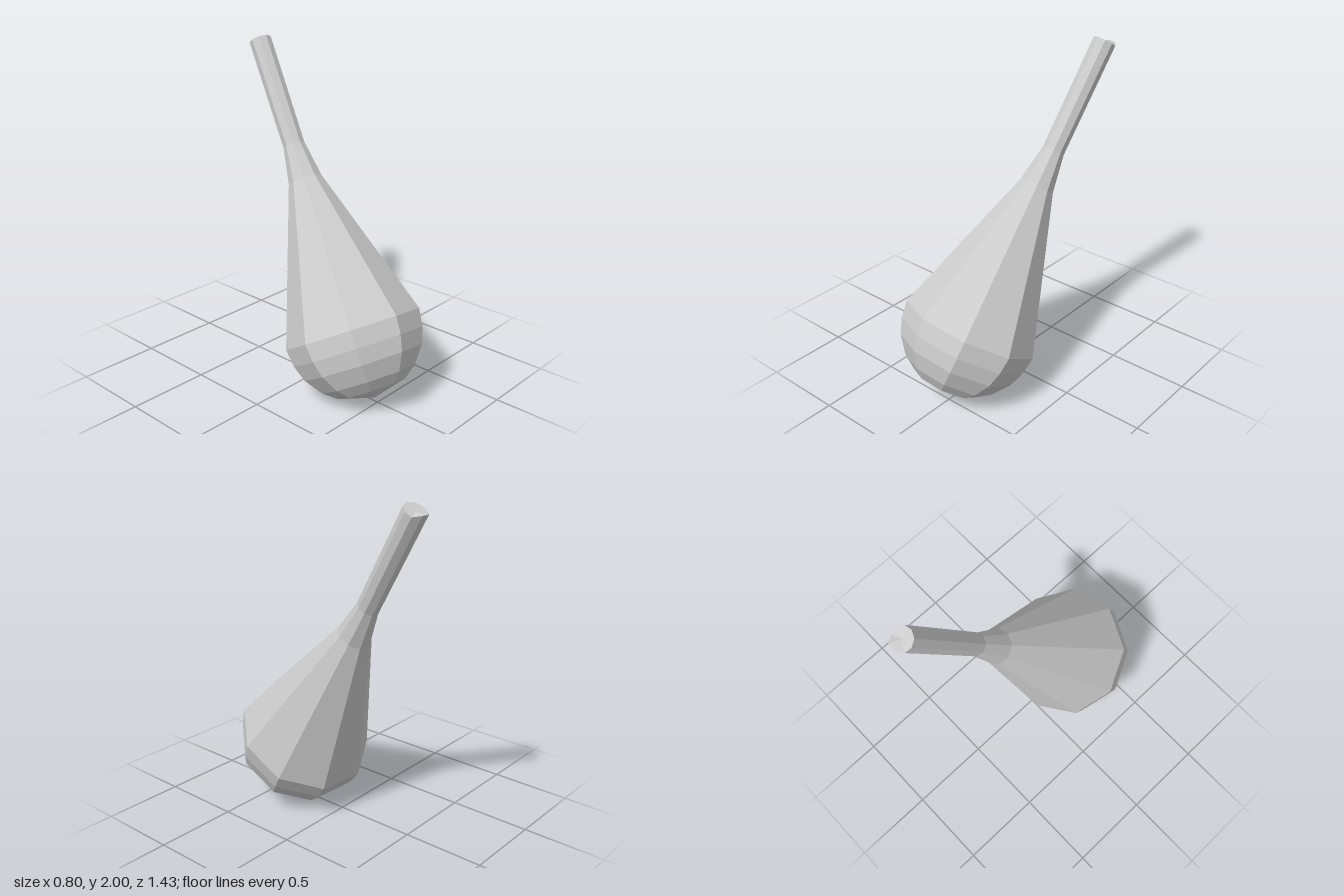
import * as THREE from 'three';

export function createModel() {
  const group = new THREE.Group();
  const material = new THREE.MeshStandardMaterial({ color: 0xcccccc, flatShading: true });

  // Profile (radius, height along the axis): round bulb, tapering shoulder, thin neck
  const profile = [
    [0, -0.405], [0.205, -0.35], [0.285, -0.29], [0.36, -0.19], [0.395, -0.095], [0.41, 0.01],
    [0.103, 0.935], [0.066, 1.16], [0.068, 1.842], [0, 1.84],
  ].map(([r, y]) => new THREE.Vector2(r, y));
  const geometry = new THREE.LatheGeometry(profile, 9);

  // Uneven neck end: the rim rises slightly at the back
  const pos = geometry.attributes.position;
  for (let i = 0; i < pos.count; i++) {
    if (pos.getY(i) > 1.841 && pos.getZ(i) < -0.05) pos.setY(i, pos.getY(i) + 0.025);
  }

  // Lean the whole body back and a little to its left
  const axis = new THREE.Vector3(0.113, 0.848, -0.518).normalize();
  const side = new THREE.Vector3().crossVectors(axis, new THREE.Vector3(-0.098, 0.535, 0.84)).normalize();
  const front = new THREE.Vector3().crossVectors(side, axis);
  geometry.applyMatrix4(new THREE.Matrix4().makeBasis(side, axis, front).setPosition(0, 0.405, 0.305));
  geometry.computeVertexNormals();

  const body = new THREE.Mesh(geometry, material);
  body.name = 'bulbWithNeck';
  group.add(body);
  return group;
}
